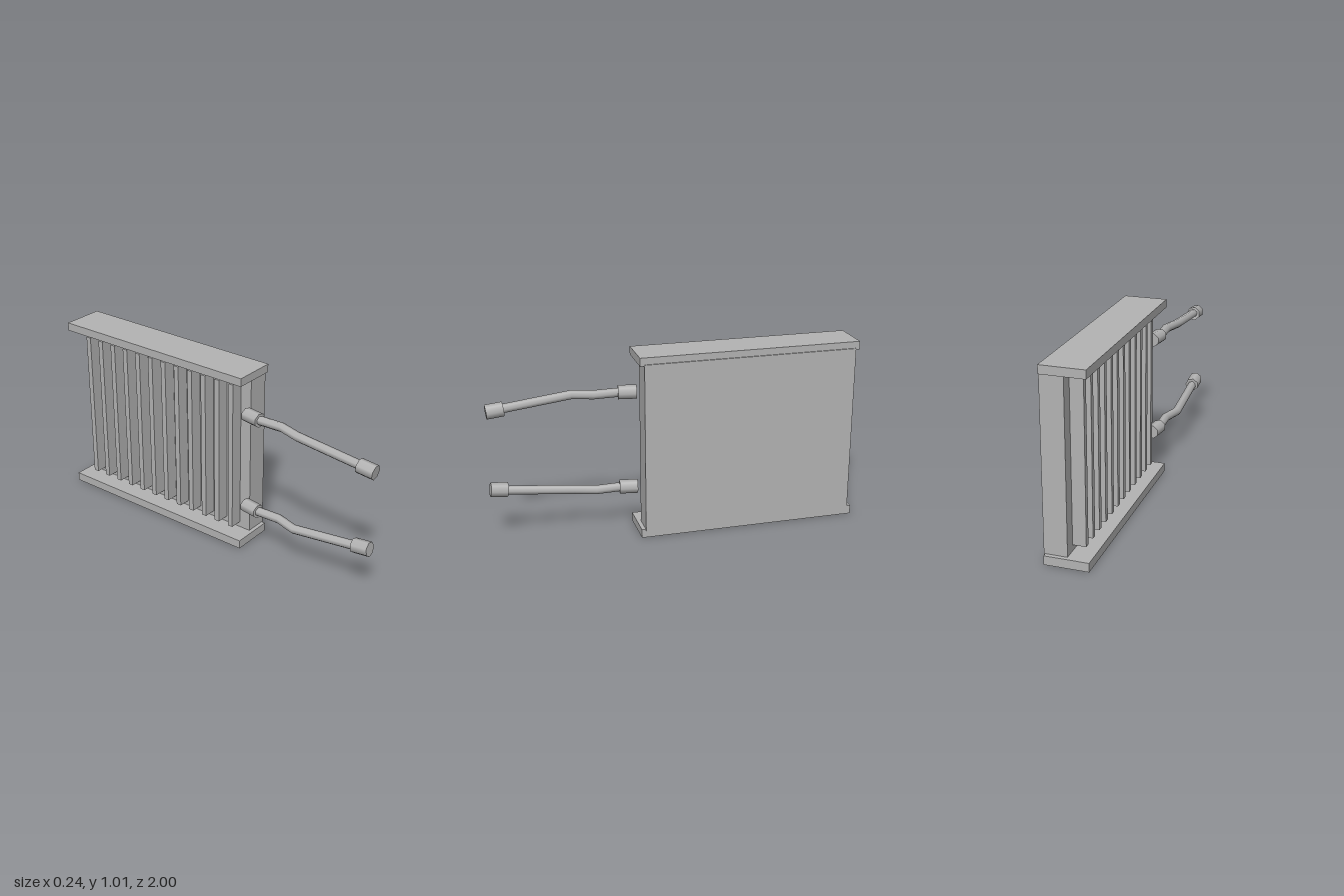
import * as THREE from 'three';

const SIDES = 7;

export function createModel() {
  const model = new THREE.Group();
  model.name = 'radiator';
  const grey = new THREE.MeshStandardMaterial({ color: 0xb4b4b4 });
  grey.name = 'grey metal';

  const add = (name, geometry) => {
    const mesh = new THREE.Mesh(geometry, grey);
    mesh.name = name;
    model.add(mesh);
    return mesh;
  };

  // box given by its minimum and maximum corners
  const box = (name, [x0, y0, z0], [x1, y1, z1]) =>
    add(name, new THREE.BoxGeometry(x1 - x0, y1 - y0, z1 - z0))
      .position.set((x0 + x1) / 2, (y0 + y1) / 2, (z0 + z1) / 2);

  // main slab between two end plates
  box('corePanel', [-0.002, 0.04, -0.977], [0.12, 0.977, 0.195]);
  box('bottomPlate', [-0.12, 0, -1], [0.113, 0.048, 0.217]);
  box('topPlate', [-0.12, 0.969, -1], [0.113, 1.014, 0.217]);

  // row of upright cooling fins
  for (let i = 0; i < 12; i++) {
    const z = -0.909 + i * 0.0917;
    box('fin', [-0.072, 0.08, z], [0, 0.936, z + 0.03]);
  }

  // straight sleeve between two points
  const sleeve = (name, a, b, radius) => {
    const dir = b.clone().sub(a);
    const geometry = new THREE.CylinderGeometry(radius, radius, dir.length(), SIDES, 1, false, Math.PI / 2);
    geometry.rotateX(Math.PI / 2);
    const mesh = add(name, geometry);
    mesh.position.copy(a).lerp(b, 0.5);
    mesh.quaternion.setFromUnitVectors(new THREE.Vector3(0, 0, 1), dir.normalize());
  };

  // bent pipe: each ring of a cylinder is moved to one path point
  const pipe = (name, path, radius) => {
    const last = path.length - 1;
    const geometry = new THREE.CylinderGeometry(radius, radius, last, SIDES, last, false, Math.PI / 2);
    geometry.rotateX(Math.PI / 2);
    const pos = geometry.attributes.position;
    for (let i = 0; i < pos.count; i++) {
      const p = path[Math.round(pos.getZ(i) + last / 2)];
      pos.setXYZ(i, pos.getX(i) + p.x, pos.getY(i) + p.y, p.z);
    }
    add(name, geometry);
  };

  // upper pipe and its mirrored lower twin, with a sleeve at each end
  for (const [label, mirror] of [['upper', 1], ['lower', -1]]) {
    const point = (x, drop, z) => new THREE.Vector3(x, 0.51 + mirror * (0.272 - drop), z);
    pipe(label + 'Pipe', [
      point(-0.048, 0, 0.21),
      point(-0.062, 0, 0.3),
      point(-0.056, 0, 0.43),
      point(-0.09, 0, 0.545),
      point(-0.082, 0.043, 0.92),
      point(-0.081, 0.052, 0.99),
    ], 0.025);
    sleeve(label + 'InnerSleeve', point(-0.048, 0, 0.2), point(-0.063, 0, 0.298), 0.039);
    sleeve(label + 'OuterSleeve', point(-0.083, 0.044, 0.905), point(-0.081, 0.054, 0.997), 0.04);
  }

  return model;
}
